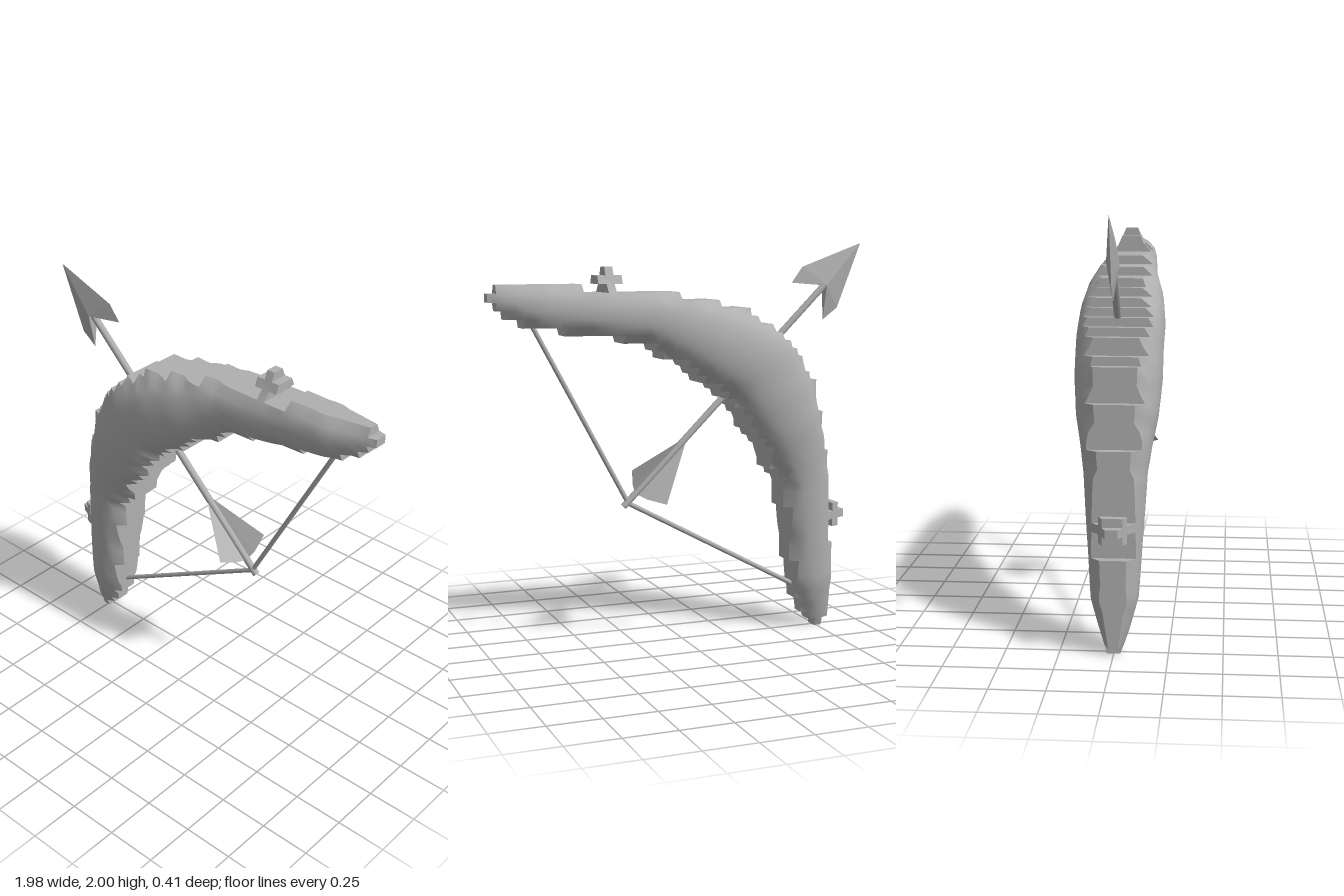
import * as THREE from 'three';

const S = 0.041, X0 = -0.819, Y0 = 1.804, N = 44; // pixel size and grid origin
const X = a => X0 + a * S, Y = b => Math.max(0, Y0 - b * S);

// upper arm as [first column, last column, top row, end row]; the lower arm is its transpose
const RUNS = [
  [7, 7, 7, 14], [8, 8, 6, 14], [9, 10, 5, 14], [11, 11, 4, 14], [12, 14, 3, 14], [15, 15, 3, 13],
  [16, 17, 2, 12], [18, 18, 2, 11], [19, 19, 2, 10], [20, 20, 2, 9], [21, 22, 1, 9], [23, 23, 1, 8],
  [24, 27, 1, 7], [28, 32, 1, 6], [33, 34, 0, 6], [35, 39, 0, 5], [40, 41, 0, 4], [42, 42, 0, 3], [43, 43, 1, 2],
];
const CROSS = [[29, -2], [28, -1], [29, -1], [30, -1], [29, 0]];

// centreline as [column, row, half width, half depth]
const SPINE = [
  [10.3, 10.3, 5, 0.205], [14, 8.3, 4.8, 0.205], [18, 6.3, 4.2, 0.19], [21, 5, 3.7, 0.165],
  [24, 4, 3.1, 0.147], [30, 3.4, 2.8, 0.132], [38, 2.5, 2.6, 0.11], [41, 2, 1.8, 0.075], [44, 1.5, 0.8, 0.035],
];

function bowCells() {
  const cells = new Set();
  const add = (a, b) => cells.add(a + ',' + b).add(b + ',' + a);
  for (const [a0, a1, top, end] of RUNS)
    for (let a = a0; a <= a1; a++)
      for (let b = top; b < end; b++) if (b <= a) add(a, b);
  CROSS.forEach(([a, b]) => add(a, b));
  return cells;
}

// half depth of the rounded bow at a grid corner
function depth(a, b) {
  if (b > a) [a, b] = [b, a];
  if (b <= 0 && a >= 28 && a <= 31) return 0.065 + b * 0.018; // cross ornament
  let best = Infinity, w = 1, h = 0;
  for (let i = 0; i < SPINE.length - 1; i++) {
    const p = SPINE[i], q = SPINE[i + 1], dx = q[0] - p[0], dy = q[1] - p[1];
    const t = THREE.MathUtils.clamp(((a - p[0]) * dx + (b - p[1]) * dy) / (dx * dx + dy * dy), 0, 1);
    const d = Math.hypot(a - p[0] - t * dx, b - p[1] - t * dy);
    if (d < best) {
      best = d;
      w = p[2] + t * (q[2] - p[2]);
      h = p[3] + t * (q[3] - p[3]);
    }
  }
  return h * (0.5 + 0.5 * Math.sqrt(Math.max(0, 1 - (best / w) ** 2)));
}

function geometry(pos, index) {
  const g = new THREE.BufferGeometry();
  g.setAttribute('position', new THREE.Float32BufferAttribute(pos, 3));
  if (index) g.setIndex(index);
  g.computeVertexNormals();
  return g;
}

// domed front or back skin with shared, smooth corners
function skin(cells, side) {
  const pos = [], index = [], ids = new Map();
  const corner = (a, b) => {
    const key = a + ',' + b;
    if (!ids.has(key)) {
      ids.set(key, pos.length / 3);
      pos.push(X(a), Y(b), side * depth(a, b));
    }
    return ids.get(key);
  };
  for (const cell of cells) {
    const [a, b] = cell.split(',').map(Number);
    const q = [corner(a, b), corner(a, b + 1), corner(a + 1, b + 1), corner(a + 1, b)];
    if (side < 0) q.reverse();
    index.push(q[0], q[1], q[2], q[0], q[2], q[3]);
  }
  return geometry(pos, index);
}

// stepped walls around the outline
function rim(cells) {
  const pos = [];
  const wall = (a, b, c, d) => {
    const p = [X(a), Y(b)], q = [X(c), Y(d)], h = depth(a, b), k = depth(c, d);
    pos.push(...p, h, ...p, -h, ...q, -k, ...p, h, ...q, -k, ...q, k);
  };
  for (const cell of cells) {
    const [a, b] = cell.split(',').map(Number), empty = (i, j) => !cells.has(i + ',' + j);
    if (empty(a, b - 1)) wall(a + 1, b, a, b);
    if (empty(a, b + 1)) wall(a, b + 1, a + 1, b + 1);
    if (empty(a - 1, b)) wall(a, b, a, b + 1);
    if (empty(a + 1, b)) wall(a + 1, b + 1, a + 1, b);
  }
  return geometry(pos);
}

export function createModel() {
  const model = new THREE.Group();
  const grey = new THREE.MeshStandardMaterial({ name: 'grey', color: 0xb0b0b0, side: THREE.DoubleSide });
  const add = (name, geo, parent = model) => {
    const m = new THREE.Mesh(geo, grey);
    m.name = name;
    parent.add(m);
    return m;
  };
  const rod = (name, from, to, r, parent) => {
    const p = new THREE.Vector3(...from, 0), q = new THREE.Vector3(...to, 0), d = q.clone().sub(p);
    const m = add(name, new THREE.CylinderGeometry(r, r, d.length(), 8), parent);
    m.position.copy(p).add(q).multiplyScalar(0.5);
    m.quaternion.setFromUnitVectors(new THREE.Vector3(0, 1, 0), d.normalize());
  };

  // bow body with its two small crosses
  const bow = new THREE.Group();
  bow.name = 'bow';
  model.add(bow);
  const cells = bowCells();
  add('bowFront', skin(cells, 1), bow);
  add('bowBack', skin(cells, -1), bow);
  add('bowRim', rim(cells), bow);

  // drawn string
  rod('upperString', [0.285, 0.72], [0.77, 1.62], 0.012);
  rod('lowerString', [0.285, 0.72], [-0.63, 0.225], 0.012);

  // arrow
  const arrow = new THREE.Group();
  arrow.name = 'arrow';
  model.add(arrow);
  rod('shaft', [0.31, 0.705], [-0.82, 1.82], 0.018, arrow);

  // barbed head: thin edges rising to a central ridge
  const outline = [[-0.78, 1.61], [-0.86, 1.67], [-0.99, 2], [-0.66, 1.88], [-0.6, 1.8]];
  const ridge = [-0.785, 1.785], head = [];
  for (const z of [0.03, -0.03])
    for (let i = 0; i < outline.length - 1; i++) {
      const [p, q] = z > 0 ? [outline[i + 1], outline[i]] : [outline[i], outline[i + 1]];
      head.push(...p, 0, ...q, 0, ...ridge, z);
    }
  head.push(...outline[0], 0, ...ridge, -0.03, ...ridge, 0.03);
  head.push(...outline[4], 0, ...ridge, 0.03, ...ridge, -0.03);
  add('arrowHead', geometry(head), arrow);

  // three vanes set evenly around the shaft
  for (let i = 0; i < 3; i++) {
    const t = Math.PI / 2 + i * Math.PI * 2 / 3;
    const u = Math.cos(t) * Math.SQRT1_2 * 0.15, z = Math.sin(t) * 0.15;
    const front = [-0.03, 1.04, 0], back = [0.245, 0.765, 0];
    const outer = [0.2 + u, 0.805 + u, z], heel = [0.235 + u * 0.4, 0.775 + u * 0.4, z * 0.4];
    add('vane', geometry([...front, ...heel, ...outer, ...front, ...back, ...heel]), arrow);
  }
  return model;
}
